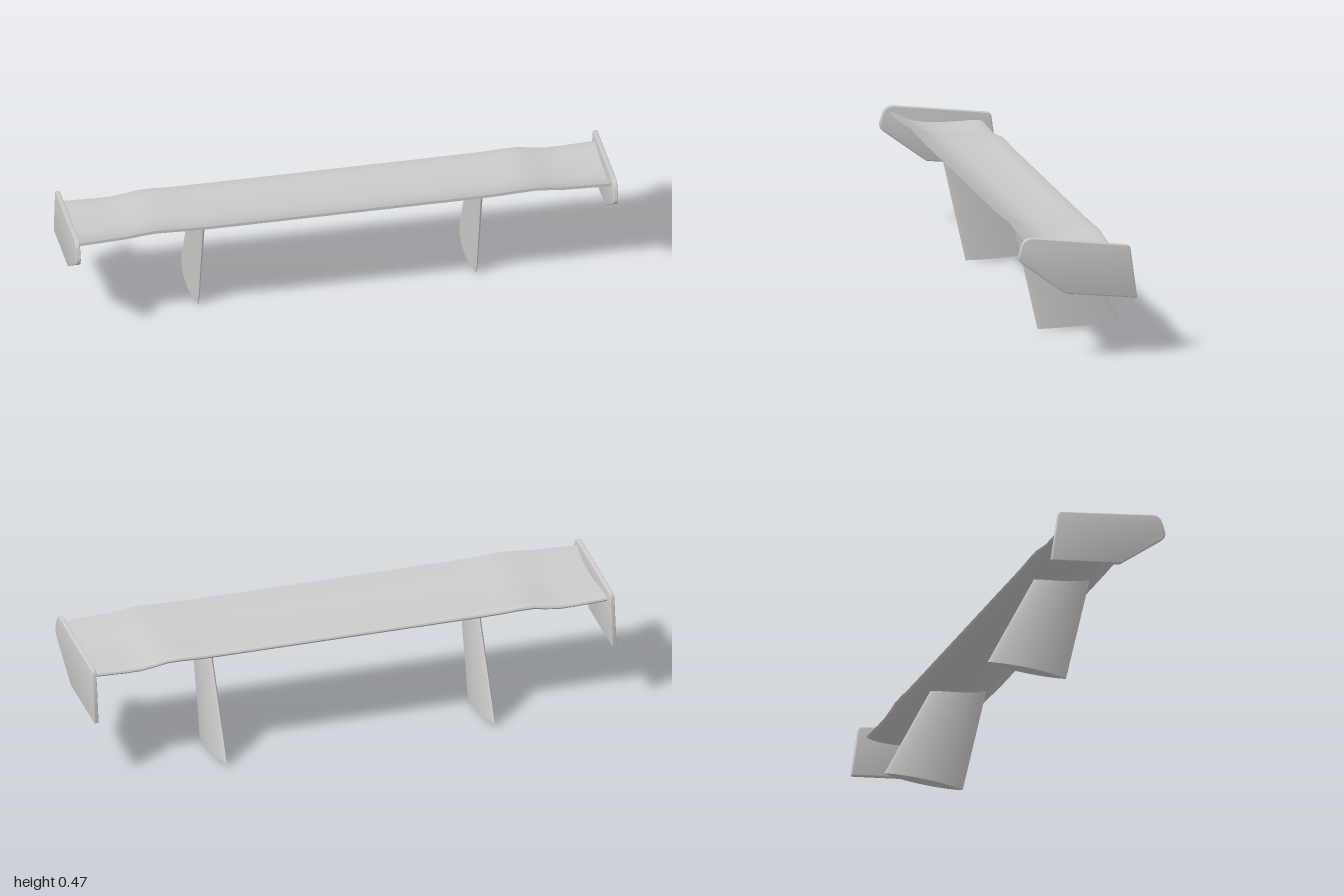
import * as THREE from 'three';
import { toCreasedNormals } from 'three/addons/utils/BufferGeometryUtils.js';

const material = new THREE.MeshStandardMaterial({ color: 0xcccccc });

// Skin a series of closed rings (arrays of Vector3) and cap both ends.
function loft(rings, crease) {
  const n = rings[0].length, last = rings.length - 1;
  const pos = [], index = [];
  rings.forEach(r => r.forEach(p => pos.push(p.x, p.y, p.z)));
  for (let i = 0; i < last; i++) {
    for (let j = 0; j < n; j++) {
      const k = (j + 1) % n;
      const a = i * n + j, b = a + n, c = (i + 1) * n + k, d = i * n + k;
      index.push(a, b, d, b, c, d);
    }
  }
  for (const i of [0, last]) {
    const centre = new THREE.Vector3();
    rings[i].forEach(p => centre.addScaledVector(p, 1 / n));
    const m = pos.length / 3;
    pos.push(centre.x, centre.y, centre.z);
    for (let j = 0; j < n; j++) {
      const a = i * n + j, b = i * n + (j + 1) % n;
      index.push(m, ...(i === 0 ? [a, b] : [b, a]));
    }
  }
  const geometry = new THREE.BufferGeometry();
  geometry.setAttribute('position', new THREE.Float32BufferAttribute(pos, 3));
  geometry.setIndex(index);
  return toCreasedNormals(geometry, crease);
}

// Cambered wing blade: one aerofoil section swept across the span.
function wingGeometry() {
  // [z, y] from the high edge over the top, round the nose and back below
  const section = [
    [0.21, 0.46], [0.17, 0.439], [0.13, 0.421], [0.08, 0.411], [0.02, 0.406], [-0.04, 0.405],
    [-0.09, 0.405], [-0.12, 0.404], [-0.132, 0.4], [-0.135, 0.394], [-0.129, 0.387],
    [-0.11, 0.381], [-0.08, 0.376], [-0.04, 0.374], [0.01, 0.375], [0.06, 0.381],
    [0.11, 0.394], [0.16, 0.417], [0.21, 0.448],
  ];
  // [x, rise at the nose, rise at the high edge]
  const half = [
    [0, 0, 0], [0.5, 0, 0], [0.58, 0.001, 0.002], [0.64, 0.004, 0.005], [0.7, 0.004, 0.007],
    [0.75, -0.005, 0.003], [0.8, -0.012, -0.003], [0.86, -0.012, -0.006], [0.987, -0.007, -0.011],
  ];
  const stations = [...half.slice(1).reverse().map(([x, a, b]) => [-x, a, b]), ...half];
  const rings = stations.map(([x, nose, tail]) => section.map(([z, y], j) => {
    const t = (z + 0.135) / 0.345;
    const under = j > 9 ? 1 - 0.8 * Math.sin(Math.PI * t) : 1;
    return new THREE.Vector3(x, y + under * THREE.MathUtils.lerp(nose, tail, t), z);
  }));
  return loft(rings, 0.5);
}

// Raked pillar with a lens-shaped section, pointed at both ends.
function pillarGeometry() {
  const levels = [ // back z, back y, front z, front y
    [-0.25, 0.015, 0.055, 0],
    [-0.063, 0.39, 0.147, 0.41],
  ];
  const rings = levels.map(([z0, y0, z1, y1]) => {
    const ring = [];
    for (let j = 0; j < 32; j++) {
      const a = j / 32 * Math.PI * 2;
      const t = (1 - Math.cos(a)) / 2;
      const w = 0.023 * Math.pow(Math.max(0, Math.sin(Math.PI * t)), 0.7);
      ring.push(new THREE.Vector3(
        w * Math.sign(Math.sin(a)),
        THREE.MathUtils.lerp(y0, y1, t),
        THREE.MathUtils.lerp(z0, z1, t)));
    }
    return ring;
  });
  return loft(rings, 0.6);
}

// Flat end plate with rounded corners and softened rims.
function endPlateGeometry() {
  const bevel = 0.004, thickness = 0.017;
  const corners = [ // z, y, corner radius
    [0.232, 0.474, 0.034], [0.257, 0.39, 0.024], [0.078, 0.255, 0.006],
    [-0.192, 0.222, 0.008], [-0.165, 0.421, 0.016],
  ].map(([z, y, r]) => ({ p: new THREE.Vector2(-z, y), r }));
  const shape = new THREE.Shape();
  corners.forEach(({ p, r }, i) => {
    const towards = q => p.clone().add(q.clone().sub(p).setLength(r));
    const a = towards(corners[(i + 4) % 5].p), b = towards(corners[(i + 1) % 5].p);
    if (i === 0) shape.moveTo(a.x, a.y);
    else shape.lineTo(a.x, a.y);
    shape.quadraticCurveTo(p.x, p.y, b.x, b.y);
  });
  shape.closePath();
  const geometry = new THREE.ExtrudeGeometry(shape, {
    depth: thickness - 2 * bevel, bevelEnabled: true, bevelThickness: bevel,
    bevelSize: bevel, bevelOffset: -bevel, bevelSegments: 3, curveSegments: 8,
  });
  geometry.translate(0, 0, bevel - thickness / 2);
  geometry.rotateY(Math.PI / 2);
  return toCreasedNormals(geometry, 0.6);
}

export function createModel() {
  const model = new THREE.Group();
  model.name = 'rearWing';
  const add = (name, geometry, x = 0) => {
    const mesh = new THREE.Mesh(geometry, material);
    mesh.name = name;
    mesh.position.x = x;
    model.add(mesh);
  };

  add('wingBlade', wingGeometry());
  const pillar = pillarGeometry(), plate = endPlateGeometry();
  for (const [side, s] of [['left', 1], ['right', -1]]) {
    add(side + 'Pillar', pillar, s * 0.513);
    add(side + 'EndPlate', plate, s * 0.9915);
  }
  return model;
}
